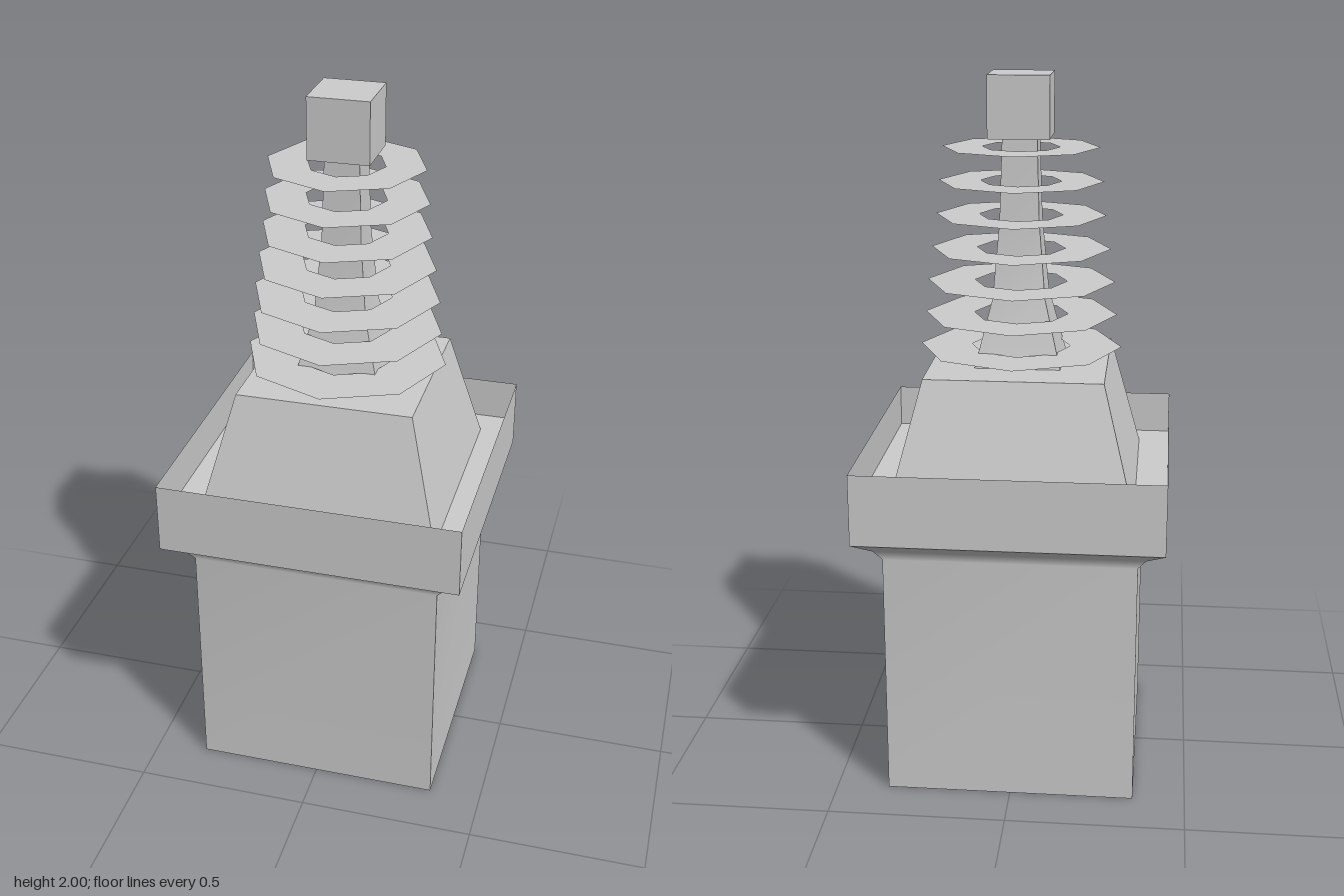
import * as THREE from 'three';

const material = new THREE.MeshStandardMaterial({ color: 0xcccccc, side: THREE.DoubleSide });

// Open square tube through [halfWidth, y] points: sharp corners, smooth along the height
function squareLoft(profile) {
  const positions = [], indices = [];
  for (let side = 0; side < 4; side++) {
    const c = Math.round(Math.cos(side * Math.PI / 2));
    const s = Math.round(Math.sin(side * Math.PI / 2));
    const base = positions.length / 3;
    profile.forEach(([r, y], i) => {
      for (const x of [-r, r]) positions.push(x * c + r * s, y, r * c - x * s);
      if (i === 0) return;
      const a = base + 2 * (i - 1);
      indices.push(a, a + 1, a + 3, a, a + 3, a + 2);
    });
  }
  const geometry = new THREE.BufferGeometry();
  geometry.setAttribute('position', new THREE.Float32BufferAttribute(positions, 3));
  geometry.setIndex(indices);
  geometry.computeVertexNormals();
  return geometry;
}

// Horizontal square facing up
function flatSquare(half, y) {
  return new THREE.PlaneGeometry(2 * half, 2 * half).rotateX(-Math.PI / 2).translate(0, y, 0);
}

export function createModel() {
  const model = new THREE.Group();
  const add = (name, geometry) => {
    const mesh = new THREE.Mesh(geometry, material);
    mesh.name = name;
    model.add(mesh);
  };

  // Hollow shaft, open below, flaring out under the parapet
  add('shaft', squareLoft([[0.352, 0], [0.352, 0.71], [0.374, 0.742], [0.427, 0.777]]));

  // Parapet walls around a sunken floor
  add('parapet', squareLoft([[0.427, 0.777], [0.427, 0.98]]));
  add('parapetFloor', flatSquare(0.427, 0.857));

  // Tapered plinth standing on the floor
  add('plinth', squareLoft([[0.337, 0.857], [0.248, 1.2]]));
  add('plinthTop', flatSquare(0.248, 1.2));

  // Slender spire with a cube on top
  add('spire', squareLoft([[0.12, 1.2], [0.073, 1.39], [0.055, 1.6], [0.048, 1.83]]));
  add('finial', new THREE.BoxGeometry(0.17, 0.17, 0.17).translate(0, 1.915, 0));

  // Stack of thin eight-sided rings, shrinking upwards
  const radii = [0.286, 0.272, 0.265, 0.252, 0.238, 0.23, 0.219];
  radii.forEach((radius, i) => {
    const ring = new THREE.RingGeometry(radius * 0.49, radius, 8);
    add(`ring${i + 1}`, ring.rotateX(-Math.PI / 2).translate(0, 1.24 + i * 0.0935, 0));
  });

  return model;
}
